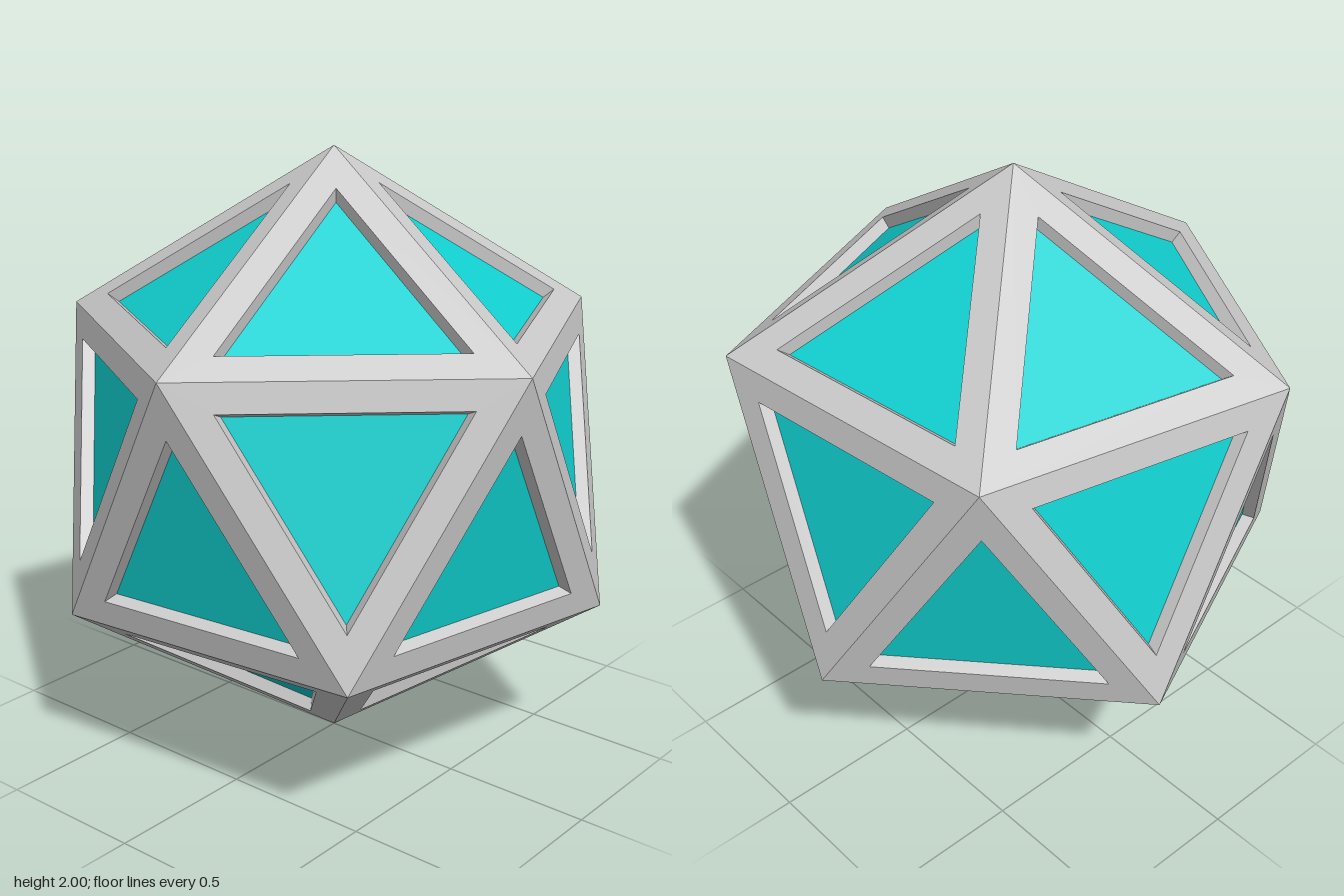
import * as THREE from 'three';

const WINDOW = 0.7;   // window size relative to its face
const RECESS = 0.95;  // panel distance from the centre relative to the frame

// Points of a five-sided ring; y is relative to the centre
function ring(y, startDegrees) {
  const r = Math.sqrt(1 - y * y);
  return Array.from({ length: 5 }, (_, i) => {
    const a = THREE.MathUtils.degToRad(startDegrees + i * 72);
    return new THREE.Vector3(r * Math.cos(a), y, r * Math.sin(a));
  });
}

// The twenty faces of the icosahedron, all wound outward
function icosahedronFaces() {
  const top = new THREE.Vector3(0, 1, 0);
  const bottom = new THREE.Vector3(0, -1, 0);
  const h = 1 / Math.sqrt(5);
  const upper = ring(h, 30);
  const lower = ring(-h, 66);
  const faces = [];
  for (let i = 0; i < 5; i++) {
    const j = (i + 1) % 5;
    faces.push(
      [top, upper[j], upper[i]],
      [upper[i], upper[j], lower[i]],
      [lower[i], upper[j], lower[j]],
      [bottom, lower[i], lower[j]]
    );
  }
  return faces;
}

function meshFrom(points, color, name) {
  const geometry = new THREE.BufferGeometry().setFromPoints(points);
  geometry.computeVertexNormals();
  const material = new THREE.MeshStandardMaterial({ color, flatShading: true });
  const mesh = new THREE.Mesh(geometry, material);
  mesh.name = name;
  return mesh;
}

export function createModel() {
  const group = new THREE.Group();
  group.name = 'framedIcosahedron';
  const frame = [];
  const panels = [];
  const quad = (list, a, b, c, d) => list.push(a, b, c, a, c, d);

  for (const outer of icosahedronFaces()) {
    const centre = new THREE.Vector3();
    outer.forEach((p) => centre.addScaledVector(p, 1 / 3));
    const rim = outer.map((p) => centre.clone().lerp(p, WINDOW));
    const inner = rim.map((p) => p.clone().multiplyScalar(RECESS));
    for (let i = 0; i < 3; i++) {
      const j = (i + 1) % 3;
      quad(frame, outer[i], outer[j], rim[j], rim[i]);  // flat border
      quad(frame, rim[i], rim[j], inner[j], inner[i]);  // window wall
    }
    panels.push(...inner);
  }

  group.add(meshFrom(frame, 0xcccccc, 'frame'));
  group.add(meshFrom(panels, 0x11d1d1, 'windowPanels'));
  group.children.forEach((mesh) => { mesh.position.y = 1; });
  return group;
}
